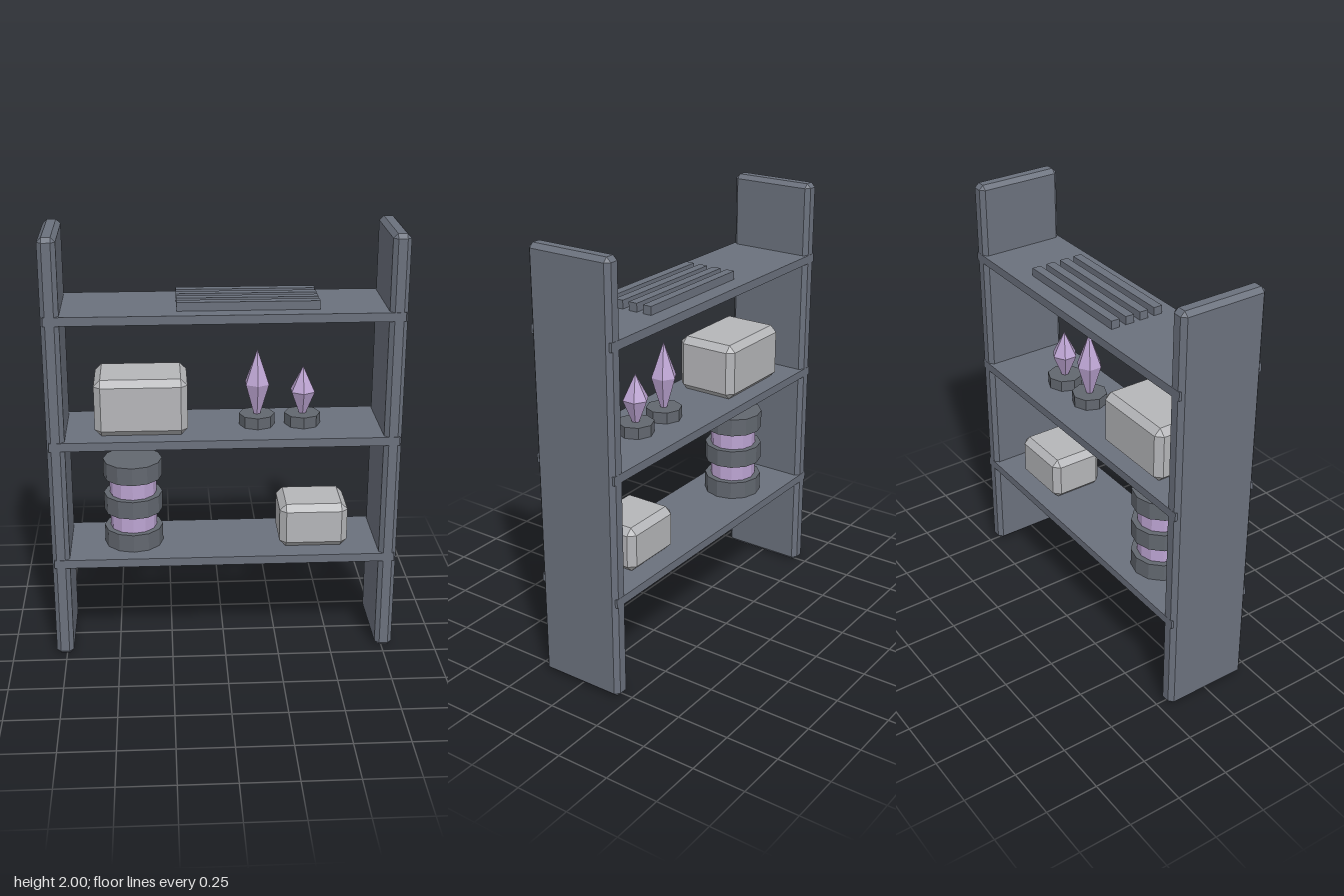
import * as THREE from 'three';
import { ConvexGeometry } from 'three/addons/geometries/ConvexGeometry.js';

// Box with every edge and corner cut flat by b
function chamferBox(w, h, d, b) {
  const points = [];
  for (const x of [-1, 1]) for (const y of [-1, 1]) for (const z of [-1, 1]) {
    const X = w / 2, Y = h / 2, Z = d / 2;
    points.push(
      new THREE.Vector3(x * X, y * (Y - b), z * (Z - b)),
      new THREE.Vector3(x * (X - b), y * Y, z * (Z - b)),
      new THREE.Vector3(x * (X - b), y * (Y - b), z * Z)
    );
  }
  return new ConvexGeometry(points);
}

// Faceted cylinder with flat normals
function prism(rTop, rBottom, h, sides) {
  const g = new THREE.CylinderGeometry(rTop, rBottom, h, sides).toNonIndexed();
  g.computeVertexNormals();
  return g;
}

export function createModel() {
  const frame = new THREE.MeshStandardMaterial({ name: 'slate frame', color: 0x6b717d });
  const dark = new THREE.MeshStandardMaterial({ name: 'dark metal', color: 0x62676f });
  const pale = new THREE.MeshStandardMaterial({ name: 'pale grey', color: 0xb5b6b9 });
  const lilac = new THREE.MeshStandardMaterial({ name: 'lilac', color: 0xbca4d2 });

  const model = new THREE.Group();
  model.name = 'shelfUnit';

  function add(parent, name, geometry, material, x, y, z = 0) {
    const mesh = new THREE.Mesh(geometry, material);
    mesh.name = name;
    mesh.position.set(x, y, z);
    parent.add(mesh);
    return mesh;
  }

  // Side uprights
  for (const s of [-1, 1]) {
    add(model, s > 0 ? 'leftUpright' : 'rightUpright', chamferBox(0.08, 2, 0.414, 0.02), frame, s * 0.758, 1);
  }

  // Shelves, with ends showing through the bevelled corners of the uprights
  const shelves = { lowerShelf: 0.477, middleShelf: 1.056, upperShelf: 1.636 };
  for (const [name, y] of Object.entries(shelves)) {
    add(model, name, new THREE.BoxGeometry(1.576, 0.04, 0.416), frame, 0, y);
  }

  // Flat slats on the upper shelf
  for (let i = 0; i < 4; i++) {
    add(model, 'slat' + (i + 1), new THREE.BoxGeometry(0.63, 0.04, 0.042), frame, 0.105, 1.675, -0.108 + i * 0.0737);
  }

  // Storage boxes
  add(model, 'largeBox', chamferBox(0.42, 0.264, 0.3, 0.03), pale, -0.375, 1.208);
  add(model, 'smallBox', chamferBox(0.318, 0.213, 0.265, 0.03), pale, 0.419, 0.603);

  // Crystals, each two tapered halves on a round stand
  for (const [name, x, middle, top] of [['tallCrystal', 0.156, 1.275, 1.437], ['shortCrystal', 0.366, 1.235, 1.353]]) {
    const crystal = new THREE.Group();
    crystal.name = name;
    crystal.position.x = x;
    model.add(crystal);
    add(crystal, 'stand', prism(0.083, 0.083, 0.054, 8), dark, 0, 1.102);
    const bottom = 1.12;
    add(crystal, 'crystalLower', prism(0.061, 0.014, middle - bottom, 6), lilac, 0, (middle + bottom) / 2);
    const tip = new THREE.ConeGeometry(0.061, top - middle, 6).toNonIndexed();
    tip.computeVertexNormals();
    add(crystal, 'crystalUpper', tip, lilac, 0, (middle + top) / 2);
  }

  // Canister: lilac core held by three dark bands
  const canister = new THREE.Group();
  canister.name = 'canister';
  canister.position.x = -0.422;
  model.add(canister);
  add(canister, 'core', prism(0.109, 0.109, 0.38, 12), lilac, 0, 0.707);
  for (let i = 0; i < 3; i++) {
    add(canister, 'band' + (i + 1), prism(0.137, 0.137, 0.085, 12), dark, 0, 0.539 + i * 0.168);
  }

  return model;
}
